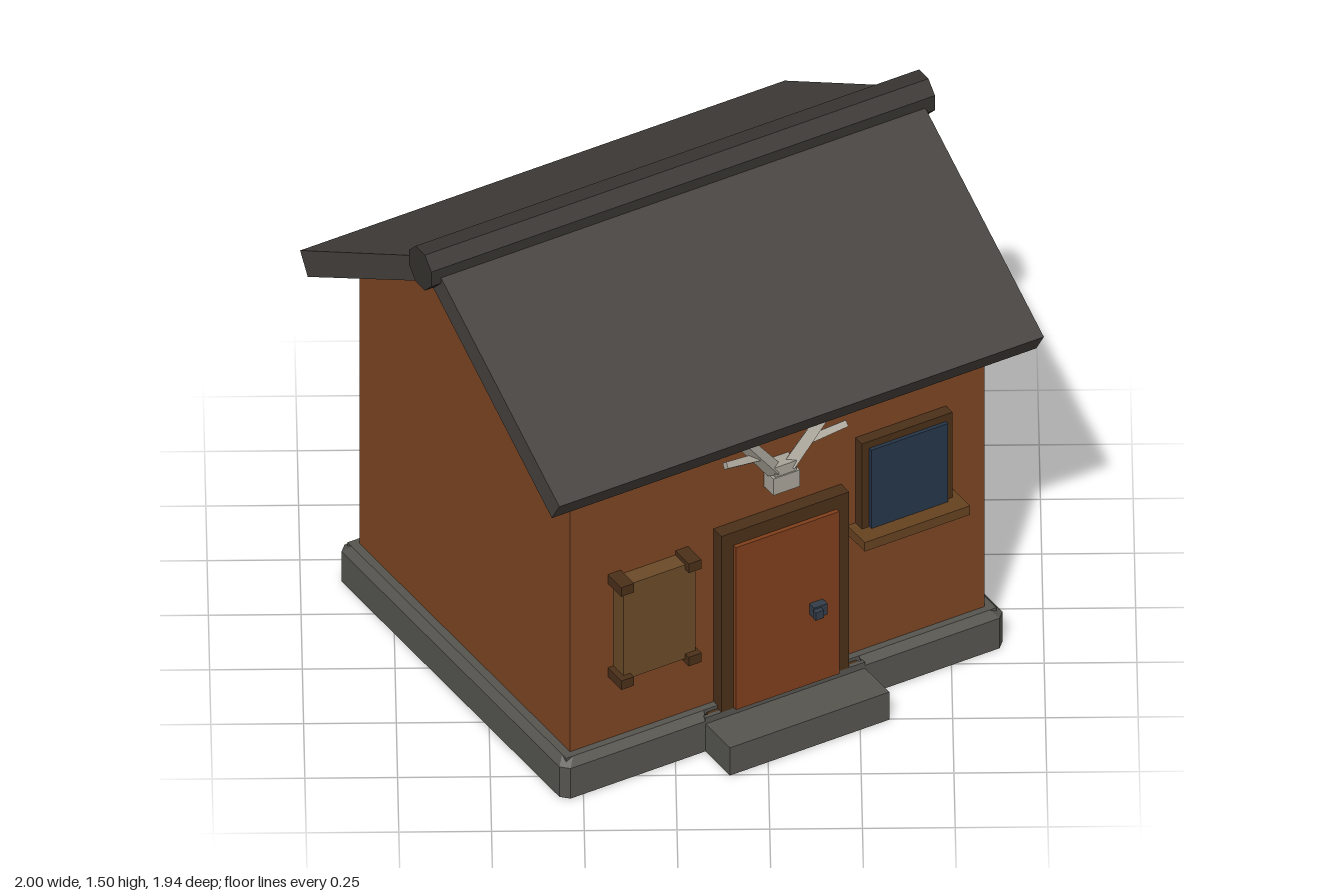
import * as THREE from 'three';

const mat = (color, side = THREE.FrontSide) => new THREE.MeshStandardMaterial({ color, flatShading: true, side });
const M = {
  wall: mat(0x7c4523), roof: mat(0x45413d), ridge: mat(0x363330), stone: mat(0x55544f),
  shell: mat(0x55544f, THREE.DoubleSide), door: mat(0x7f3f1c), frame: mat(0x4a3019), sill: mat(0x664220),
  glass: mat(0x263649), hide: mat(0x6b4b28), metal: mat(0x333c48), bone: mat(0xa8a398),
};

export function createModel() {
  const model = new THREE.Group();
  const house = new THREE.Group();
  house.name = 'house';
  house.rotation.y = Math.PI / 6;
  model.add(house);

  const add = (name, geometry, material, parent = house) => {
    const mesh = new THREE.Mesh(geometry, material);
    mesh.name = name;
    parent.add(mesh);
    return mesh;
  };
  const group = (name) => {
    const g = new THREE.Group();
    g.name = name;
    house.add(g);
    return g;
  };
  // Box given by its limits on each axis
  const box = (name, [x0, x1], [y0, y1], [z0, z1], material, parent) => {
    const mesh = add(name, new THREE.BoxGeometry(x1 - x0, y1 - y0, z1 - z0), material, parent);
    mesh.position.set((x0 + x1) / 2, (y0 + y1) / 2, (z0 + z1) / 2);
  };
  // Symmetric gable profile (z, y) swept along x
  const sweep = (name, pts, length, material) => {
    const shape = new THREE.Shape(pts.map(([z, y]) => new THREE.Vector2(z, y)));
    const geo = new THREE.ExtrudeGeometry(shape, { depth: length, bevelEnabled: false });
    geo.translate(0, 0, -length / 2).rotateY(Math.PI / 2);
    add(name, geo, material);
  };
  // Square bar between two points
  const bar = (name, from, to, r0, r1, parent) => {
    const a = new THREE.Vector3(...from), b = new THREE.Vector3(...to);
    const d = b.clone().sub(a);
    const mesh = add(name, new THREE.CylinderGeometry(r1, r0, d.length(), 4), M.bone, parent);
    mesh.position.copy(a).lerp(b, 0.5);
    mesh.quaternion.setFromUnitVectors(new THREE.Vector3(0, 1, 0), d.normalize());
  };

  // Base: thin kerb open below, with chamfered corners, a bevelled top and a gap at the door
  const a = 0.695, b = 0.596, c = 0.022;
  const half = [[0.25, 0.57], [0.25, b], [a - c, b], [a, b - c], [a, -b + c], [a - c, -b]];
  const outline = [...half, ...half.map(([x, z]) => [-x, z]).reverse()];
  const rows = [[0, 0], [0.1, 0], [0.122, 0.02]];
  const verts = [], index = [], n = outline.length;
  for (const [y, inset] of rows) {
    for (const [x, z] of outline) verts.push(x * (1 - inset / a), y, z * (1 - inset / b));
  }
  for (let r = 0; r < rows.length - 1; r++) {
    for (let i = 0; i < n - 1; i++) {
      const k = r * n + i;
      index.push(k, k + 1, k + n, k + 1, k + n + 1, k + n);
    }
  }
  const kerb = new THREE.BufferGeometry();
  kerb.setAttribute('position', new THREE.Float32BufferAttribute(verts, 3));
  kerb.setIndex(index);
  kerb.computeVertexNormals();
  add('baseKerb', kerb, M.shell);
  box('floor', [-0.675, 0.675], [0.106, 0.122], [-0.576, 0.576], M.stone);
  box('kerbBridge', [-0.25, 0.25], [0.08, 0.112], [0.585, 0.597], M.stone);
  box('threshold', [-0.235, 0.235], [0.09, 0.112], [0.54, 0.585], M.frame);
  box('doorStep', [-0.25, 0.25], [0, 0.092], [0.594, 0.725], M.stone);

  // Walls and roof
  sweep('walls', [[-0.555, 0.11], [0.555, 0.11], [0.555, 1.052], [0, 1.383], [-0.555, 1.052]], 1.3, M.wall);
  sweep('roof', [
    [0.683, 1.06], [0, 1.468], [-0.683, 1.06], [-0.643, 0.997], [0, 1.385], [0.643, 0.997],
  ], 1.52, M.roof);
  const ridgeGeo = new THREE.CylinderGeometry(0.064, 0.064, 1.58, 8);
  ridgeGeo.rotateY(Math.PI / 8).rotateZ(Math.PI / 2);
  add('ridgeBeam', ridgeGeo, M.ridge).position.y = 1.439;

  // Door standing proud of its frame, with a handle
  const door = group('door');
  box('doorFrame', [-0.2, 0.2], [0.112, 0.698], [0.54, 0.597], M.frame, door);
  box('doorPanel', [-0.162, 0.162], [0.114, 0.655], [0.59, 0.61], M.door, door);
  box('handlePlate', [0.068, 0.11], [0.347, 0.383], [0.605, 0.635], M.metal, door);
  box('handleKnob', [0.064, 0.09], [0.352, 0.378], [0.635, 0.65], M.metal, door);

  // Window with its frame and sill
  const win = group('window');
  box('windowFrame', [0.245, 0.529], [0.55, 0.836], [0.54, 0.589], M.frame, win);
  box('glass', [0.268, 0.509], [0.55, 0.813], [0.58, 0.6], M.glass, win);
  box('windowSill', [0.22, 0.55], [0.522, 0.552], [0.54, 0.646], M.sill, win);

  // Wall panel held at its corners
  const panel = group('wallPanel');
  box('panelSheet', [-0.514, -0.287], [0.342, 0.655], [0.55, 0.607], M.hide, panel);
  for (const x of [-0.512, -0.3]) for (const y of [0.343, 0.654]) {
    box('panelClip', [x - 0.02, x + 0.02], [y - 0.015, y + 0.015], [0.55, 0.626], M.frame, panel);
  }

  // Mounted skull with a mirrored pair of antlers
  const trophy = group('antlerTrophy');
  box('skullSnout', [-0.042, 0.042], [0.78, 0.835], [0.55, 0.604], M.bone, trophy);
  box('skullCrown', [-0.034, 0.034], [0.83, 0.867], [0.55, 0.6], M.bone, trophy);
  for (const s of [-1, 1]) {
    bar('antlerBeam', [s * 0.025, 0.845, 0.58], [s * 0.165, 1.03, 0.595], 0.024, 0.02, trophy);
    bar('antlerTine', [s * 0.075, 0.912, 0.588], [s * 0.19, 0.932, 0.6], 0.016, 0.013, trophy);
  }

  return model;
}
